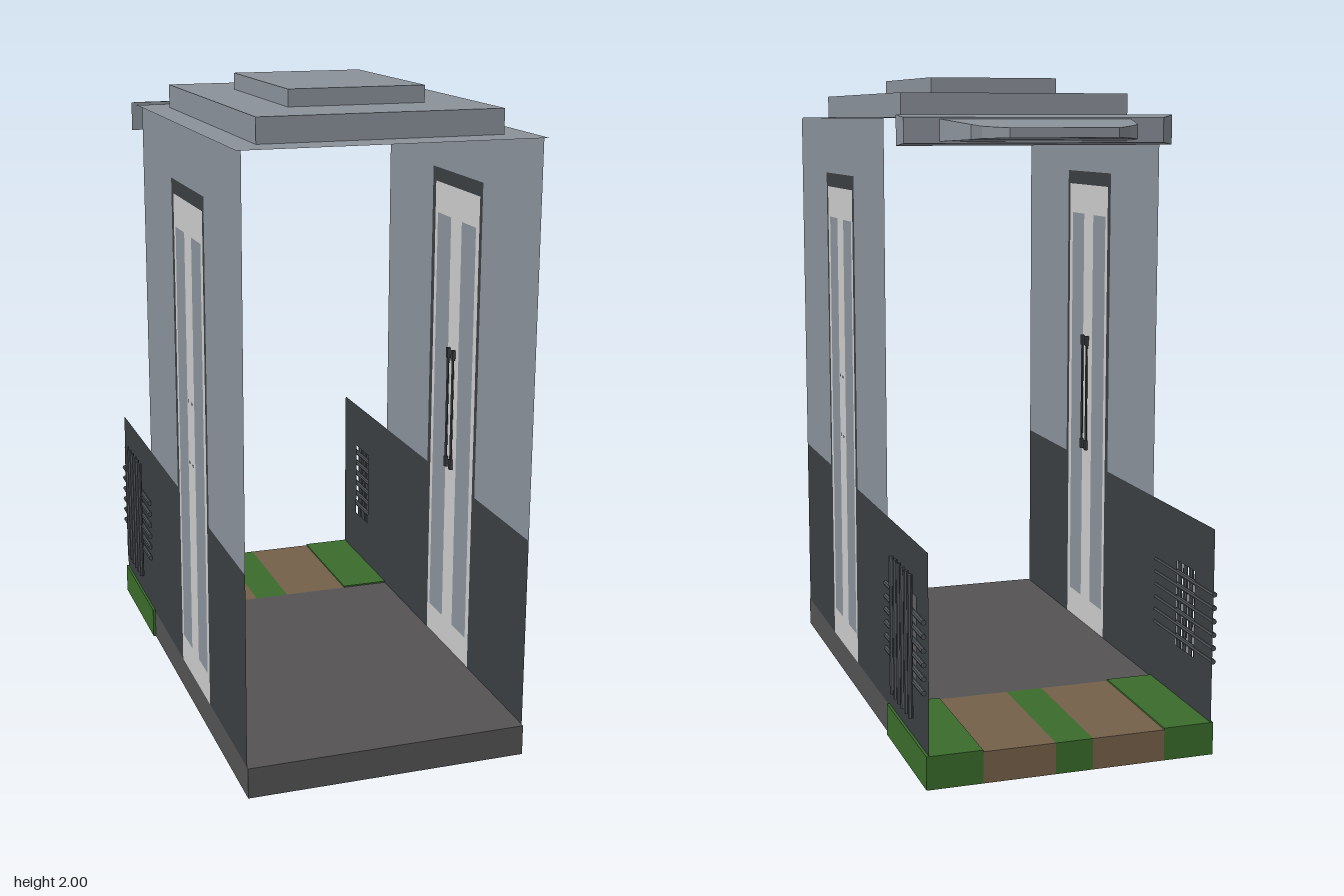
import * as THREE from 'three';

const mat = (color) => new THREE.MeshStandardMaterial({ color, side: THREE.DoubleSide, flatShading: true });

export function createModel() {
  const model = new THREE.Group();
  const wallGrey = mat(0x8b929a), dark = mat(0x3a3f42), doorGrey = mat(0xcccccc);
  const floorGrey = mat(0x555353), green = mat(0x3a6b2c), brown = mat(0x75604a), metal = mat(0x4c5054);

  const add = (parent, name, geometry, material) => {
    const mesh = new THREE.Mesh(geometry, material);
    mesh.name = name;
    parent.add(mesh);
    return mesh;
  };
  // Box given by its limits on each axis
  const box = (parent, name, [x0, x1], [y0, y1], [z0, z1], material) => {
    const mesh = add(parent, name, new THREE.BoxGeometry(x1 - x0, y1 - y0, z1 - z0), material);
    mesh.position.set((x0 + x1) / 2, (y0 + y1) / 2, (z0 + z1) / 2);
    return mesh;
  };
  const rect = (Type, u0, u1, v0, v1) => new Type([[u0, v0], [u1, v0], [u1, v1], [u0, v1]].map(p => new THREE.Vector2(...p)));
  // Flat sheet in the side plane, limits [z0, z1, y0, y1], with rectangular holes
  const sheet = (parent, name, limits, material, holes = []) => {
    const shape = rect(THREE.Shape, ...limits);
    holes.forEach(h => shape.holes.push(rect(THREE.Path, ...h)));
    return add(parent, name, new THREE.ShapeGeometry(shape).rotateY(-Math.PI / 2), material);
  };
  // Closed loft through rectangles { z, x: [min, max], y: [min, max] }
  const loft = (parent, name, sections, material) => {
    const pos = [], index = [];
    sections.forEach(({ z, x, y }) => pos.push(x[0], y[0], z, x[1], y[0], z, x[1], y[1], z, x[0], y[1], z));
    for (let s = 0; s < sections.length - 1; s++) {
      for (let k = 0; k < 4; k++) {
        const a = s * 4 + k, b = s * 4 + (k + 1) % 4;
        index.push(a, b, b + 4, a, b + 4, a + 4);
      }
    }
    const e = (sections.length - 1) * 4;
    index.push(0, 2, 1, 0, 3, 2, e, e + 1, e + 2, e, e + 2, e + 3);
    // Sections run towards -z, so turn every face outwards
    for (let i = 0; i < index.length; i += 3) [index[i + 1], index[i + 2]] = [index[i + 2], index[i + 1]];
    const g = new THREE.BufferGeometry();
    g.setAttribute('position', new THREE.Float32BufferAttribute(pos, 3));
    g.setIndex(index);
    const flat = g.toNonIndexed();
    flat.computeVertexNormals();
    return add(parent, name, flat, material);
  };

  // Floor and striped rear platform
  box(model, 'floor', [-0.44, 0.43], [0, 0.095], [-0.375, 0.82], floorGrey);
  const platform = new THREE.Group();
  platform.name = 'rearPlatform';
  model.add(platform);
  const edges = [-0.448, -0.29, -0.065, 0.05, 0.27, 0.438];
  for (let i = 0; i < 5; i++) {
    const top = i === 0 || i === 4 ? 0.1 : 0.095;
    box(platform, 'platformStripe', [edges[i], edges[i + 1]], [0, top], [-0.825, -0.375], i % 2 ? brown : green);
  }

  // Side walls with door, handles and barred window
  for (const side of [-1, 1]) {
    const wall = new THREE.Group();
    wall.name = side > 0 ? 'leftWall' : 'rightWall';
    model.add(wall);
    const wallX = side > 0 ? 0.43 : -0.44;
    const skin = new THREE.Group();
    skin.name = 'wallSkin';
    skin.position.x = wallX;
    wall.add(skin);

    sheet(skin, 'upperWallFront', [0.41, 0.81, 0.69, 1.875], wallGrey);
    sheet(skin, 'upperWallBack', [-0.375, 0.015, 0.69, 1.875], wallGrey);
    sheet(skin, 'wallAboveDoor', [0.015, 0.41, 1.695, 1.875], wallGrey);
    sheet(skin, 'lowerWallFront', [0.41, 0.81, 0.095, 0.69], dark);
    sheet(skin, 'lowerWallBack', [-0.825, 0.015, 0.095, 0.69], dark, [[-0.695, -0.565, 0.26, 0.53]]);
    sheet(skin, 'doorFrameFront', [0.39, 0.41, 0.095, 1.695], dark);
    sheet(skin, 'doorFrameBack', [0.015, 0.04, 0.095, 1.695], dark);
    sheet(skin, 'doorFrameTop', [0.04, 0.39, 1.65, 1.695], dark);

    const panels = [[0.255, 0.365, 0.19, 1.55], [0.06, 0.17, 0.19, 1.55]];
    sheet(skin, 'door', [0.04, 0.39, 0.095, 1.65], doorGrey, panels);
    panels.forEach(p => sheet(skin, 'doorPanel', p, wallGrey));

    // Pull handles inside, bolt heads outside
    const hx = wallX - side * 0.01;
    for (const z of [0.195, 0.235]) {
      box(wall, 'handleBar', [hx - 0.002, hx + 0.002], [0.76, 1.1], [z - 0.006, z + 0.006], dark);
      for (const y of [0.748, 1.115]) {
        box(wall, 'handleEnd', [hx - 0.005, hx + 0.005], [y - 0.017, y + 0.017], [z - 0.007, z + 0.007], dark);
      }
      for (const y of [0.83, 1.03]) {
        const bolt = add(wall, 'handleBolt', new THREE.CircleGeometry(0.006, 8).rotateY(side * Math.PI / 2), dark);
        bolt.position.set(wallX + side * 0.002, y, z);
      }
    }

    // Window grille outside the lower wall
    for (let i = 0; i < 6; i++) {
      const across = add(wall, 'horizontalBar', new THREE.CylinderGeometry(0.008, 0.008, 0.425, 8).rotateX(Math.PI / 2), metal);
      across.position.set(side * 0.444, 0.287 + i * 0.041, -0.6125);
      const upright = add(wall, 'verticalBar', new THREE.CylinderGeometry(0.008, 0.008, 0.425, 8), metal);
      upright.position.set(side * 0.455, 0.392, -0.72 + i * 0.0415);
    }
  }

  // Roof: thin sheet rising in two hollow steps
  const roof = new THREE.Group();
  roof.name = 'roof';
  model.add(roof);
  const steps = [
    { x: [-0.455, 0.44], z: [-0.385, 0.82], y: 1.877 },
    { x: [-0.37, 0.355], z: [-0.285, 0.71], y: 1.95 },
    { x: [-0.213, 0.2], z: [-0.07, 0.495], y: 2 },
  ];
  steps.forEach(({ x, z, y }, i) => {
    const next = steps[i + 1];
    const top = rect(THREE.Shape, ...x, -z[1], -z[0]);
    if (next) top.holes.push(rect(THREE.Path, ...next.x, -next.z[1], -next.z[0]));
    add(roof, 'roofSheet', new THREE.ShapeGeometry(top).rotateX(-Math.PI / 2), wallGrey).position.y = y;
    if (!i) return;
    const h = y - steps[i - 1].y, yc = y - h / 2;
    const w = x[1] - x[0], d = z[1] - z[0], xc = (x[0] + x[1]) / 2, zc = (z[0] + z[1]) / 2;
    for (const s of [-1, 1]) {
      const end = new THREE.PlaneGeometry(w, h).rotateY(s > 0 ? 0 : Math.PI);
      add(roof, 'roofStepEnd', end, wallGrey).position.set(xc, yc, zc + s * d / 2);
      const flank = new THREE.PlaneGeometry(d, h).rotateY(s * Math.PI / 2);
      add(roof, 'roofStepSide', flank, wallGrey).position.set(xc + s * w / 2, yc, zc);
    }
  });

  // Canopy over the rear opening
  const canopy = new THREE.Group();
  canopy.name = 'rearCanopy';
  model.add(canopy);
  loft(canopy, 'canopyBase', [
    { z: -0.4, x: [-0.47, 0.4], y: [1.795, 1.885] },
    { z: -0.485, x: [-0.405, 0.4], y: [1.803, 1.877] },
  ], wallGrey);
  loft(canopy, 'canopyNose', [
    { z: -0.48, x: [-0.3, 0.295], y: [1.808, 1.873] },
    { z: -0.62, x: [-0.265, 0.24], y: [1.815, 1.857] },
    { z: -0.63, x: [-0.237, 0.212], y: [1.818, 1.852] },
    { z: -0.685, x: [-0.18, 0.147], y: [1.82, 1.848] },
  ], wallGrey);

  return model;
}
